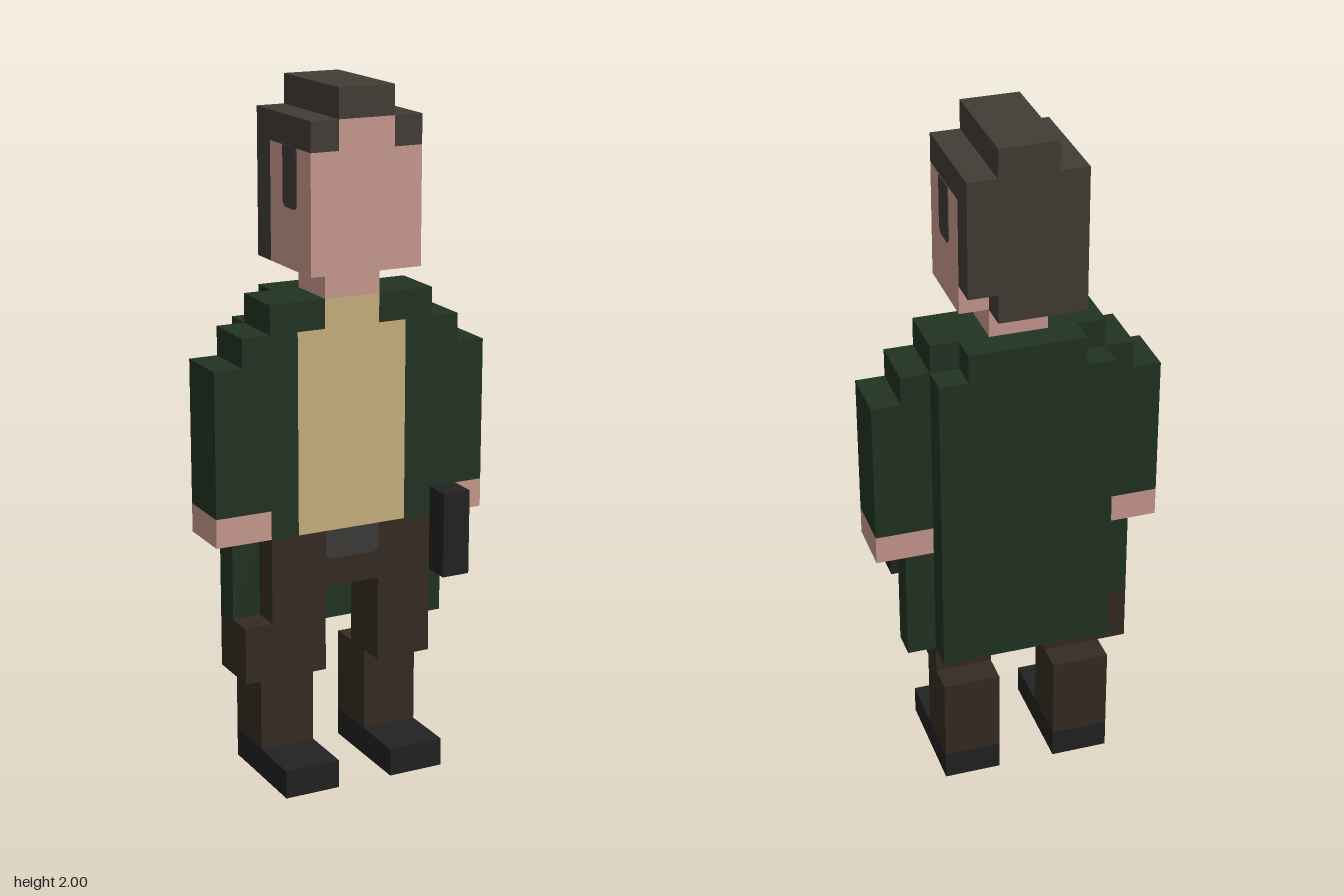
import * as THREE from 'three';

// One block of the figure's grid is 1/12 unit; all sizes below are in blocks
const U = 1 / 12;

const material = (name, color) => {
  const m = new THREE.MeshStandardMaterial({ color });
  m.name = name;
  return m;
};

export function createModel() {
  const skin = material('skin', 0xcb9b91);
  const hair = material('hair', 0x433c36);
  const green = material('coatGreen', 0x213323);
  const tan = material('shirtTan', 0xc9b27f);
  const brown = material('trouserBrown', 0x352b22);
  const black = material('black', 0x222222);
  const metal = material('buckleGrey', 0x3e3b39);

  const model = new THREE.Group();
  model.name = 'figure';
  const group = (name) => {
    const g = new THREE.Group();
    g.name = name;
    model.add(g);
    return g;
  };

  // Box spanning the given block ranges
  const box = (parent, name, mat, [x0, x1], [y0, y1], [z0, z1]) => {
    const mesh = new THREE.Mesh(
      new THREE.BoxGeometry((x1 - x0) * U, (y1 - y0) * U, (z1 - z0) * U), mat);
    mesh.position.set((x0 + x1) * U / 2, (y0 + y1) * U / 2, (z0 + z1) * U / 2);
    mesh.name = name;
    parent.add(mesh);
  };
  // Same box on both sides, x measured outwards from the middle
  const pair = (parent, name, mat, [x0, x1], y, z) => {
    box(parent, name + 'Left', mat, [x0, x1], y, z);
    box(parent, name + 'Right', mat, [-x1, -x0], y, z);
  };
  // Thin plate with bevelled lower corners, facing +z
  const plate = (parent, name, mat, w, h) => {
    const a = w * U / 2, b = h * U, c = 0.15 * U;
    const shape = new THREE.Shape([
      [-a, b], [-a, c], [-a + c, 0], [a - c, 0], [a, c], [a, b],
    ].map(([x, y]) => new THREE.Vector2(x, y)));
    const mesh = new THREE.Mesh(
      new THREE.ExtrudeGeometry(shape, { depth: 0.003, bevelEnabled: false }), mat);
    mesh.name = name;
    parent.add(mesh);
    return mesh;
  };

  // Head and neck
  const head = group('head');
  box(head, 'neck', skin, [-1, 1], [17, 18], [-1, 1]);
  box(head, 'face', skin, [-2, 2], [18, 22], [-1, 2]);
  box(head, 'forehead', skin, [-1, 1], [22, 23], [1, 2]);

  // Hair
  const hairGroup = group('hair');
  box(hairGroup, 'hairTop', hair, [-1, 1], [23, 24], [-2, 2]);
  box(hairGroup, 'hairCrown', hair, [-2, 2], [22, 23], [-2, 1]);
  pair(hairGroup, 'temple', hair, [1, 2], [22, 23], [1, 2]);
  box(hairGroup, 'hairBack', hair, [-2, 2], [19, 22], [-2, -1]);
  box(hairGroup, 'hairNape', hair, [-2, 1], [18, 19], [-2, -1]);
  for (const s of [1, -1]) {
    const burn = plate(hairGroup, s > 0 ? 'sideburnLeft' : 'sideburnRight', hair, 1, 2);
    burn.rotation.y = s * Math.PI / 2;
    burn.position.set(s * 2 * U, 20 * U, 0.5 * U);
  }

  // Shirt
  const shirt = group('shirt');
  box(shirt, 'shirtFront', tan, [-2, 2], [9, 16], [-1, 1]);
  box(shirt, 'collar', tan, [-1, 1], [16, 17], [-1, 1]);

  // Long open coat
  const coat = group('coat');
  pair(coat, 'coatFront', green, [2, 3], [9, 16], [-1, 1]);
  pair(coat, 'coatShoulder', green, [1, 3], [16, 17], [-1, 1]);
  box(coat, 'coatBack', green, [-3, 3], [5, 16], [-2, -1]);
  box(coat, 'coatYoke', green, [-2, 2], [16, 17], [-2, -1]);
  box(coat, 'coatFlapLeft', green, [3, 4], [5, 9], [-1, 0]);
  box(coat, 'coatFlapRight', green, [-4, -3], [6, 9], [-1, 0]);

  // Arms
  const arms = group('arms');
  pair(arms, 'upperSleeve', green, [3, 4], [10, 16], [-1, 1]);
  pair(arms, 'outerSleeve', green, [4, 5], [10, 15], [-1, 1]);
  pair(arms, 'hand', skin, [3, 5], [9, 10], [-1, 1]);
  box(arms, 'heldObject', black, [3, 4], [7, 10], [1, 2]);

  // Trousers, belt buckle and boots
  const legs = group('legs');
  box(legs, 'hips', brown, [-3, 3], [7, 9], [-1, 1]);
  pair(legs, 'thigh', brown, [1, 3], [4, 7], [-1, 1]);
  box(legs, 'thighPocket', brown, [-4, -3], [4, 6], [-1, 1]);
  pair(legs, 'shin', brown, [1, 3], [1, 4], [-2, 0]);
  pair(legs, 'boot', black, [1, 3], [0, 1], [-2, 2]);
  plate(legs, 'beltBuckle', metal, 2, 1).position.set(0, 8 * U, U);

  return model;
}
